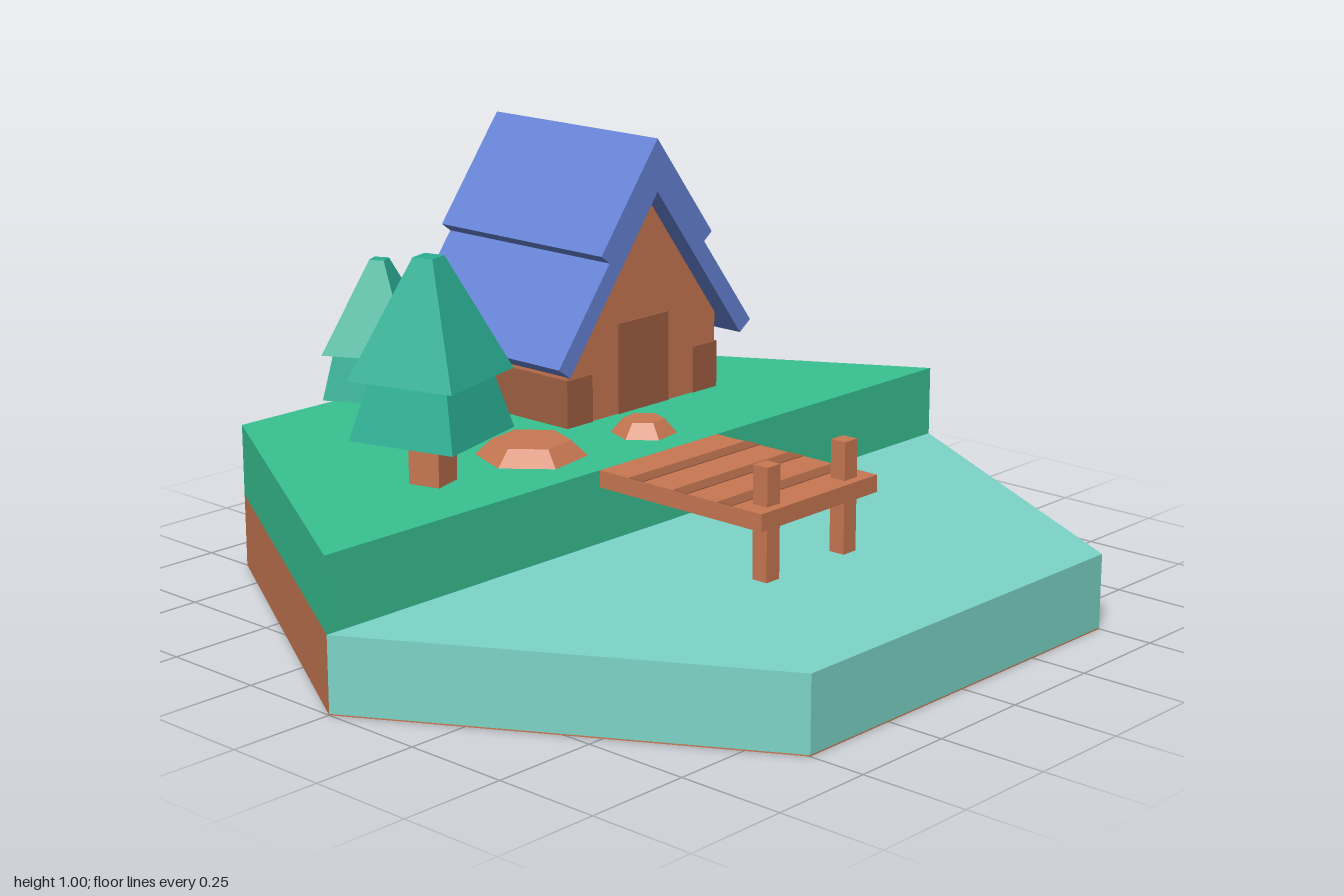
import * as THREE from 'three';

const mat = (color) => new THREE.MeshStandardMaterial({ color, flatShading: true });
const M = {
  dirt: mat(0xc87852), dark: mat(0xa06042), grass: mat(0x38c292), water: mat(0x7cd4c8),
  roof: mat(0x6683d6), leaf: mat(0x2bb095),
};
const GROUND = 0.345, WATER = 0.175;

function add(parent, name, geometry, material, x = 0, y = 0, z = 0) {
  const mesh = new THREE.Mesh(geometry, material);
  mesh.name = name;
  mesh.position.set(x, y, z);
  parent.add(mesh);
  return mesh;
}

// Box given by its minimum and maximum corners
function block(parent, name, material, x0, x1, y0, y1, z0, z1) {
  return add(parent, name, new THREE.BoxGeometry(x1 - x0, y1 - y0, z1 - z0), material,
    (x0 + x1) / 2, (y0 + y1) / 2, (z0 + z1) / 2);
}

// Ground-plan polygon [x, z] raised from y0 to y1
function slab(parent, name, material, points, y0, y1) {
  const shape = new THREE.Shape(points.map(([x, z]) => new THREE.Vector2(x, -z)));
  const g = new THREE.ExtrudeGeometry(shape, { depth: y1 - y0, bevelEnabled: false }).rotateX(-Math.PI / 2);
  return add(parent, name, g, material, 0, y0, 0);
}

// Side profile [z, y] extruded along x from x0 to x1
function profile(parent, name, material, points, x0, x1) {
  const shape = new THREE.Shape(points.map(([z, y]) => new THREE.Vector2(-z, y)));
  const g = new THREE.ExtrudeGeometry(shape, { depth: x1 - x0, bevelEnabled: false }).rotateY(Math.PI / 2);
  return add(parent, name, g, material, x0, 0, 0);
}

// Tapered prism standing on y0
function frustum(parent, name, material, rTop, rBottom, y0, y1, sides) {
  return add(parent, name, new THREE.CylinderGeometry(rTop, rBottom, y1 - y0, sides), material, 0, (y0 + y1) / 2, 0);
}

function createBase() {
  const base = new THREE.Group();
  base.name = 'base';
  const w = Math.sqrt(3) / 2;
  const half = (s) => [[0, -1], [s * w, -0.5], [s * w, 0.5], [0, 1]];
  slab(base, 'bed', M.dirt, [[0, -1], [w, -0.5], [w, 0.5], [0, 1], [-w, 0.5], [-w, -0.5]], 0, 0.003);
  slab(base, 'soil', M.dirt, half(-1), 0.003, WATER);
  slab(base, 'grass', M.grass, half(-1), WATER, GROUND);
  slab(base, 'water', M.water, half(1), 0.003, WATER);
  return base;
}

function createHouse() {
  const house = new THREE.Group();
  house.name = 'house';
  house.position.z = -0.25;
  const x0 = -0.716, x1 = -0.286, d = 0.256, e = 0.004;
  profile(house, 'walls', M.dirt,
    [[d, GROUND], [d, 0.533], [0, 0.874], [-d, 0.533], [-d, GROUND]], x0, x1);

  // Dark plinth round the walls, left open either side of the door
  const top = 0.46;
  for (const s of [-1, 1]) {
    const a = s * d, b = s * (d + e), c = s * 0.175;
    block(house, 'sidePlinth', M.dark, x0 - e, x1 + e, GROUND, top, Math.min(a, b), Math.max(a, b));
    block(house, 'cornerPlinth', M.dark, x1, x1 + e, GROUND, top, Math.min(a, c), Math.max(a, c));
  }
  block(house, 'backPlinth', M.dark, x0 - e, x0, GROUND, top, -d, d);
  block(house, 'door', M.dark, x1, x1 + e, GROUND, 0.565, -0.087, 0.087);

  // Two overlapping chevron roof layers with square-cut eaves
  const chevron = (outer, inner, zo, yo, zi, yi) =>
    [[zo, yo], [0, outer], [-zo, yo], [-zi, yi], [0, inner], [zi, yi]];
  profile(house, 'lowerRoof', M.roof, chevron(0.944, 0.874, 0.332, 0.508, 0.295, 0.482), -0.77, -0.237);
  profile(house, 'upperRoof', M.roof, chevron(1.0, 0.944, 0.19, 0.75, 0.163, 0.73), -0.77, -0.237);
  return house;
}

function createTree(x, z, turn, t) {
  const tree = new THREE.Group();
  tree.name = 'tree';
  tree.position.set(x, 0, z);
  tree.rotation.y = -THREE.MathUtils.degToRad(turn);
  frustum(tree, 'trunk', M.dirt, t.trunk, t.trunk, GROUND, t.y0, 4);
  frustum(tree, 'lowerFoliage', M.leaf, t.waist, t.r, t.y0, t.y1, 4);
  frustum(tree, 'upperFoliage', M.leaf, t.tip, t.r, t.y1, t.y2, 4);
  return tree;
}

function createRock(x, z, rTop, rBottom, height) {
  const rock = new THREE.Group();
  rock.name = 'rock';
  rock.position.set(x, 0, z);
  rock.rotation.y = THREE.MathUtils.degToRad(10);
  frustum(rock, 'stone', M.dirt, rTop, rBottom, GROUND, GROUND + height, 6);
  return rock;
}

function createDock() {
  const dock = new THREE.Group();
  dock.name = 'dock';
  block(dock, 'deck', M.dirt, 0, 0.472, 0.305, GROUND, -0.195, 0.195);
  for (const x of [0.09, 0.22, 0.348]) {
    block(dock, 'darkPlank', M.dark, x, x + 0.041, GROUND, GROUND + 0.002, -0.195, 0.195);
  }
  for (const z of [-0.13, 0.13]) {
    block(dock, 'post', M.dirt, 0.41, 0.45, WATER, 0.433, z - 0.021, z + 0.021);
  }
  return dock;
}

export function createModel() {
  const model = new THREE.Group();
  model.name = 'lakesideCabin';
  model.add(
    createBase(),
    createHouse(),
    createTree(-0.209, 0.504, 29.5, { trunk: 0.054, r: 0.185, waist: 0.138, tip: 0.035, y0: 0.454, y1: 0.588, y2: 0.85 }),
    createTree(-0.6, 0.297, 17, { trunk: 0.048, r: 0.15, waist: 0.121, tip: 0.025, y0: 0.434, y1: 0.54, y2: 0.75 }),
    createRock(-0.197, 0.213, 0.09, 0.128, 0.036),
    createRock(-0.135, -0.092, 0.048, 0.077, 0.034),
    createDock(),
  );
  return model;
}
